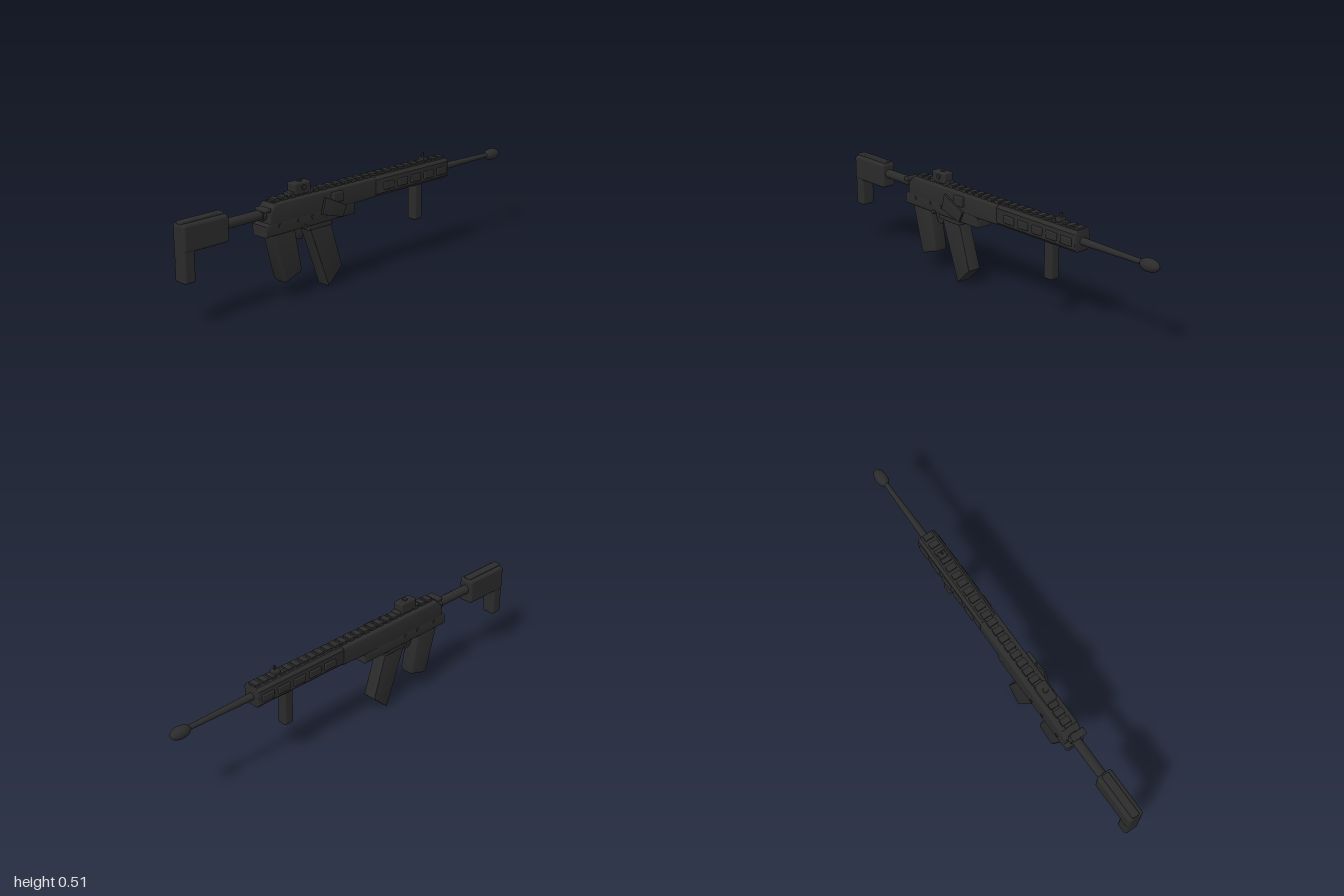
import * as THREE from 'three';
import { RoundedBoxGeometry } from 'three/addons/geometries/RoundedBoxGeometry.js';
import { toCreasedNormals } from 'three/addons/utils/BufferGeometryUtils.js';

export function createModel() {
  const model = new THREE.Group();
  const body = new THREE.Group();
  body.name = 'body';
  body.position.x = -0.009; // side levers make the outline lopsided
  model.add(body);
  const gunmetal = new THREE.MeshStandardMaterial({ color: 0x2b2b2b });
  gunmetal.name = 'gunmetal';

  const add = (name, geometry, x = 0, y = 0, z = 0) => {
    const mesh = new THREE.Mesh(geometry, gunmetal);
    mesh.name = name;
    mesh.position.set(x, y, z);
    body.add(mesh);
    return mesh;
  };
  // Box given by its limits in y and z, centred on x
  const block = (name, w, y0, y1, z0, z1, r = 0, x = 0) => add(name,
    r ? new RoundedBoxGeometry(w, y1 - y0, z1 - z0, 3, r) : new THREE.BoxGeometry(w, y1 - y0, z1 - z0),
    x, (y0 + y1) / 2, (z0 + z1) / 2);
  const extrude = (points, depth, bevel) => {
    const g = new THREE.ExtrudeGeometry(new THREE.Shape(points.map(p => new THREE.Vector2(...p))), {
      depth: depth - 2 * bevel, bevelEnabled: bevel > 0, bevelSize: bevel,
      bevelThickness: bevel, bevelOffset: -bevel, bevelSegments: 3,
    });
    return g.translate(0, 0, -(depth - 2 * bevel) / 2);
  };
  // Side profile of [z, y] points, thickened along x
  const profile = (name, points, width, bevel = 0, x = 0) =>
    add(name, toCreasedNormals(extrude(points, width, bevel).rotateY(-Math.PI / 2), 0.6), x);
  // Cross-section with cut corners, drawn out along z
  const chamfered = (name, w, y0, y1, z0, z1, c) => {
    const h = w / 2;
    return add(name, toCreasedNormals(extrude([
      [-h + c, y0], [h - c, y0], [h, y0 + c], [h, y1 - c],
      [h - c, y1], [-h + c, y1], [-h, y1 - c], [-h, y0 + c],
    ], z1 - z0, 0.004), 0.6), 0, 0, (z0 + z1) / 2);
  };
  // Cylinder along z
  const tube = (name, rFront, rBack, y, z0, z1) => add(name,
    new THREE.CylinderGeometry(rBack, rFront, z1 - z0, 24).rotateX(Math.PI / 2), 0, y, (z0 + z1) / 2);
  // Cylinder along x
  const pin = (name, r, length, x, y, z) =>
    add(name, new THREE.CylinderGeometry(r, r, length, 16).rotateZ(Math.PI / 2), x, y, z);

  // Stock
  block('stockBody', 0.076, 0.33, 0.45, 0.765, 1, 0.014);
  block('stockToe', 0.07, 0.2, 0.36, 0.942, 1, 0.012);
  block('stockRidge', 0.036, 0.44, 0.46, 0.775, 0.995, 0.005);
  tube('bufferTube', 0.022, 0.022, 0.398, 0.56, 0.78);
  tube('bufferCollar', 0.028, 0.028, 0.398, 0.545, 0.575);

  // Receiver
  profile('upperReceiver', [
    [0.555, 0.35], [0.555, 0.41], [0.52, 0.443], [-0.085, 0.443], [-0.085, 0.355], [0.06, 0.35],
  ], 0.09, 0.009);
  profile('lowerReceiver', [
    [0.578, 0.305], [0.578, 0.355], [0.545, 0.365], [0.06, 0.365], [0.052, 0.35], [0.052, 0.305],
  ], 0.09, 0.008);
  block('magazineWell', 0.078, 0.283, 0.32, 0.185, 0.33, 0.006);
  block('chargingHandle', 0.07, 0.415, 0.432, 0.55, 0.583, 0.005, 0.016);
  for (const [y, z] of [[0.345, 0.39], [0.345, 0.5], [0.345, 0.31]]) pin('receiverPin', 0.009, 0.098, 0, y, z);
  pin('selector', 0.011, 0.012, 0.047, 0.311, 0.36);

  // Grip, trigger and magazine
  profile('pistolGrip', [[0.535, 0.32], [0.405, 0.32], [0.366, 0.125], [0.37, 0.106], [0.46, 0.077], [0.472, 0.09]], 0.074, 0.012);
  profile('trigger', [[0.405, 0.31], [0.355, 0.31], [0.335, 0.265], [0.345, 0.245], [0.37, 0.25], [0.385, 0.28]], 0.026, 0.004);
  profile('magazine', [[0.318, 0.3], [0.195, 0.3], [0.123, 0.077], [0.205, 0]], 0.066, 0.002);

  // Tilted side plate and its mount
  profile('sidePlate', [[0.255, 0.425], [0.125, 0.365], [0.15, 0.315], [0.275, 0.35]], 0.011, 0.002, 0.064);
  block('sidePlateMount', 0.03, 0.385, 0.43, 0.14, 0.2, 0.005, 0.048);
  pin('sidePlatePivot', 0.013, 0.03, 0.052, 0.36, 0.18);

  // Handguard with raised side panels
  chamfered('handguard', 0.09, 0.353, 0.448, -0.575, -0.08, 0.014);
  for (let i = 0; i < 5; i++) {
    const z = -0.522 + i * 0.089;
    block('sidePanel', 0.105, 0.378, 0.414, z - 0.033, z + 0.033, 0.005);
  }
  block('foregrip', 0.052, 0.18, 0.365, -0.416, -0.364, 0.012);

  // Top rail
  block('railBase', 0.034, 0.436, 0.449, -0.572, 0.52);
  for (let i = 0; i < 24; i++) {
    const z = -0.555 + i * 0.0455;
    block('railTooth', 0.044, 0.443, 0.457, z - 0.0145, z + 0.0145);
  }

  // Sights
  block('opticBase', 0.042, 0.448, 0.466, 0.28, 0.42, 0.004);
  block('opticHousing', 0.053, 0.45, 0.503, 0.3, 0.395, 0.008);
  add('opticCap', new THREE.CylinderGeometry(0.011, 0.014, 0.01, 16), 0, 0.503, 0.345);
  pin('opticKnob', 0.012, 0.01, 0.028, 0.48, 0.345);
  block('frontSightBase', 0.036, 0.45, 0.472, -0.458, -0.425, 0.004);
  block('frontSightPost', 0.008, 0.465, 0.492, -0.447, -0.439);

  // Barrel and rounded muzzle
  tube('barrel', 0.0105, 0.017, 0.397, -0.93, -0.56);
  add('muzzle', new THREE.SphereGeometry(1, 28, 20).scale(0.028, 0.028, 0.05), 0, 0.395, -0.95);

  return model;
}
